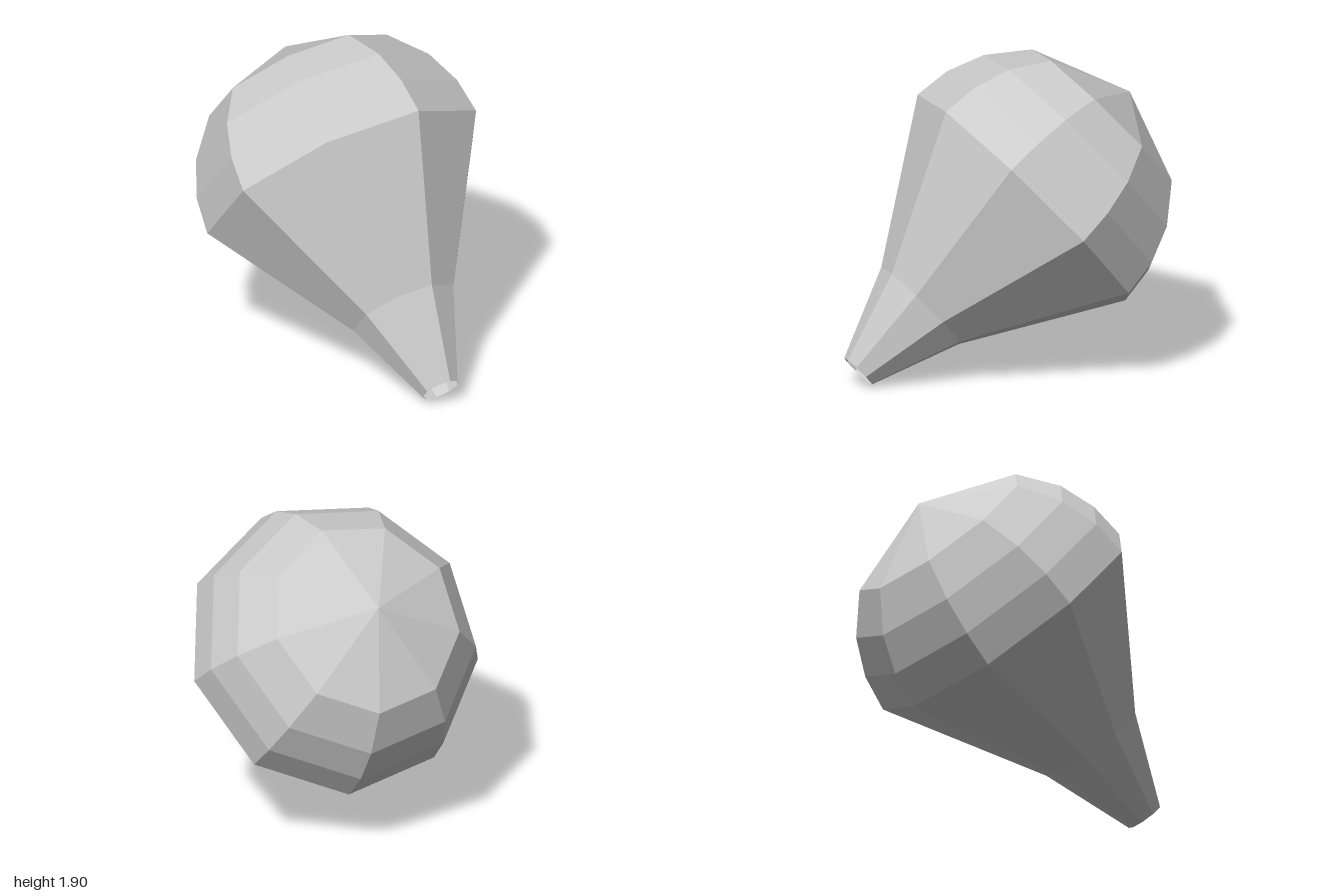
import * as THREE from 'three';

const SIDES = 9;
const RADIUS = 0.89;

export function createModel() {
  const model = new THREE.Group();
  model.name = 'balloon';

  const material = new THREE.MeshStandardMaterial({
    color: 0xcccccc,
    flatShading: true,
    side: THREE.DoubleSide, // the mouth is open, so the inside shows
  });

  // Upright nine-sided envelope: local y runs from the mouth up to the crown
  const body = new THREE.Group();
  body.name = 'envelope';
  const addPart = (name, profile) => {
    const points = profile.map(([r, y]) => new THREE.Vector2(r, y));
    const mesh = new THREE.Mesh(new THREE.LatheGeometry(points, SIDES), material);
    mesh.name = name;
    body.add(mesh);
  };

  // Dome: rings at equal heights on a hemisphere
  const dome = [];
  for (let k = 0; k <= 4; k++) {
    const h = k / 4;
    dome.push([RADIUS * Math.sqrt(1 - h * h), RADIUS * h]);
  }
  addPart('dome', dome);

  // Tapered lower envelope and the narrower open neck
  addPart('taper', [[0.332, -0.89], [RADIUS, 0]]);
  addPart('neck', [[0.116, -1.43], [0.332, -0.89]]);

  // Lean the envelope so its mouth points down to the left and slightly forward
  const up = new THREE.Vector3(-0.726, 0.659, -0.197).normalize();
  const seam = new THREE.Vector3(0.67, 0.742, 0);
  const across = new THREE.Vector3().crossVectors(up, seam).normalize();
  seam.crossVectors(across, up);
  body.quaternion.setFromRotationMatrix(new THREE.Matrix4().makeBasis(across, up, seam));
  body.position.set(-0.117, 1.03, 0.008);

  model.add(body);
  return model;
}
